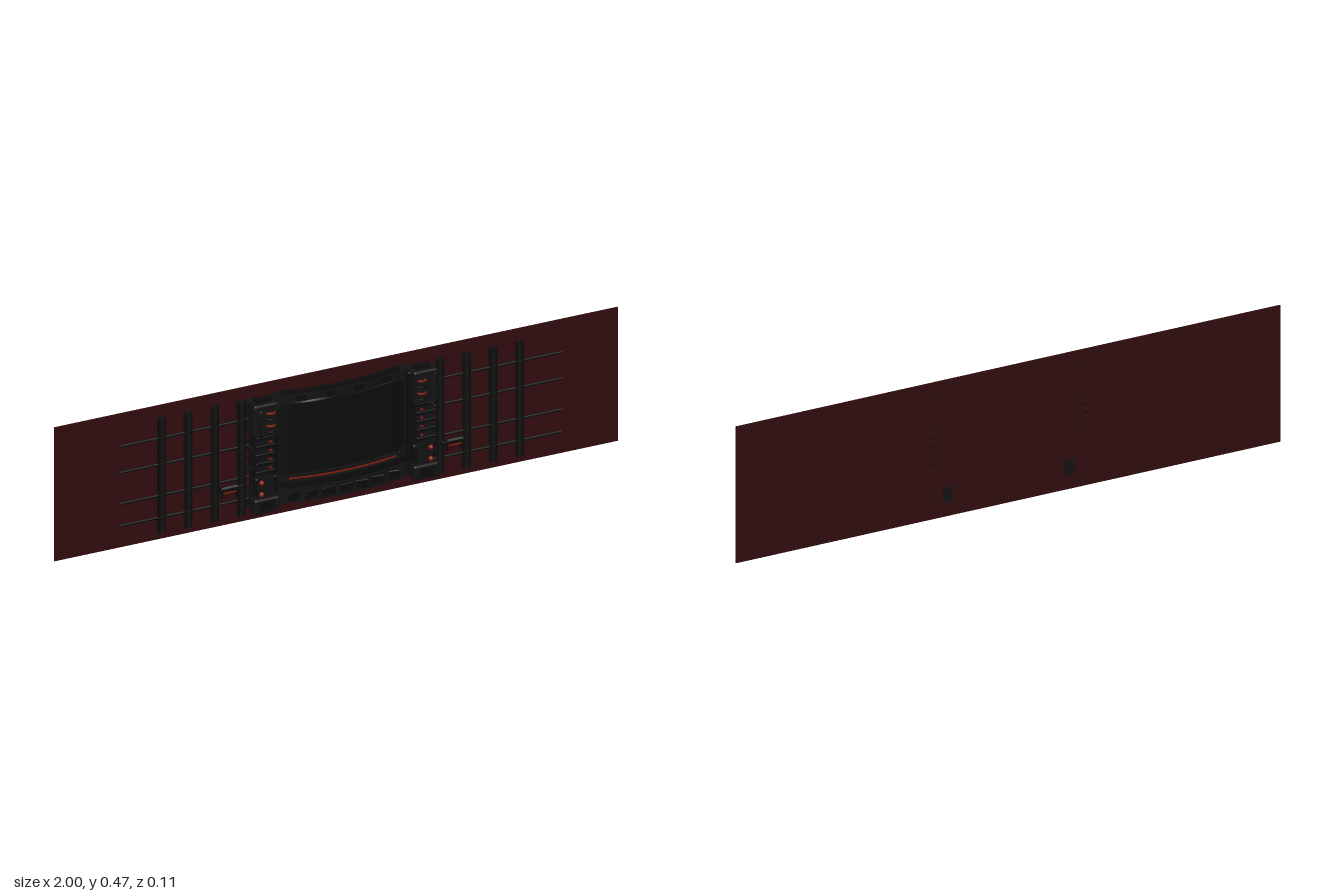
import * as THREE from 'three';
import { RoundedBoxGeometry } from 'three/addons/geometries/RoundedBoxGeometry.js';

const mat = (color, side = THREE.FrontSide) => new THREE.MeshStandardMaterial({ color, side });
const wallMat = mat(0x300c0e), dark = mat(0x121212), black = mat(0x0b0b0b), red = mat(0x7a1a0c), steel = mat(0x444a4c);

function add(parent, name, geo, material, x = 0, y = 0, z = 0) {
  const m = new THREE.Mesh(geo, material);
  m.name = name;
  m.position.set(x, y, z);
  parent.add(m);
  return m;
}
const box = (w, h, d) => new THREE.BoxGeometry(w, h, d);
const soft = (w, h, d, r = 0.006) => new RoundedBoxGeometry(w, h, d, 2, r);

// Bows geometry toward the front at x = 0
function bow(geo) {
  const p = geo.attributes.position;
  for (let i = 0; i < p.count; i++) p.setZ(i, p.getZ(i) - 0.6 * p.getX(i) ** 2);
  geo.computeVertexNormals();
  return geo;
}
const beam = (w, h, d) => bow(new THREE.BoxGeometry(w, h, d, 24, 1, 1));

// Rounded rectangle outline with closely spaced points
function outline(w, h, r) {
  const pts = [];
  const corners = [[1, 1], [-1, 1], [-1, -1], [1, -1]];
  corners.forEach(([sx, sy], k) => {
    for (let i = 0; i <= 6; i++) {
      const a = (k + i / 6) * Math.PI / 2;
      pts.push(new THREE.Vector2(sx * (w / 2 - r) + r * Math.cos(a), sy * (h / 2 - r) + r * Math.sin(a)));
    }
    if (k % 2 === 0) {
      for (let i = 1; i < 20; i++) pts.push(new THREE.Vector2(sx * (w / 2 - r) * (1 - i / 10), sy * h / 2));
    }
  });
  return pts;
}
function ring(w, h, r, t, depth) {
  const s = new THREE.Shape(outline(w, h, r));
  s.holes.push(new THREE.Path(outline(w - 2 * t, h - 2 * t, r * 0.8)));
  return bow(new THREE.ExtrudeGeometry(s, { depth, bevelEnabled: false }));
}

// Curved display with its surround and beams
function buildScreen() {
  const g = new THREE.Group();
  g.name = 'screenUnit';
  add(g, 'screen', beam(0.47, 0.27, 0.014), black, 0, 0.27, 0.002);
  add(g, 'bezel', ring(0.49, 0.29, 0.04, 0.018, 0.03), dark, 0, 0.27, -0.008);
  add(g, 'innerBezel', ring(0.462, 0.262, 0.03, 0.008, 0.01), black, 0, 0.27, 0.006);
  add(g, 'topBeam', beam(0.48, 0.024, 0.036), dark, 0, 0.416, 0.006);
  add(g, 'topRail', beam(0.42, 0.01, 0.024), black, 0, 0.429, 0.006);
  add(g, 'lowerBeam', beam(0.48, 0.048, 0.045), dark, 0, 0.076, 0.004);
  add(g, 'lowerShelf', beam(0.46, 0.022, 0.036), black, 0, 0.113, 0.006);
  add(g, 'redTrim', beam(0.38, 0.004, 0.005), red, 0, 0.136, 0.024);
  for (let i = -3; i <= 3; i++) {
    const x = i * 0.058;
    const m = add(g, 'lowerPanel', soft(0.046, 0.03, 0.008, 0.003), black, x, 0.077, 0.028 - 0.6 * x * x);
    m.rotation.y = -Math.atan(-1.2 * x) * -1;
  }
  for (const x of [-0.15, -0.05, 0.05, 0.15])
    add(g, 'topClip', box(0.03, 0.018, 0.008), black, x, 0.416, 0.026 - 0.6 * x * x);
  return g;
}

// Equipment column beside the display, built at +x
function buildColumn() {
  const g = new THREE.Group();
  g.name = 'sideColumn';
  add(g, 'columnCore', soft(0.06, 0.36, 0.066), dark, 0.283, 0.24, -0.006);
  add(g, 'innerPost', soft(0.026, 0.34, 0.05), black, 0.245, 0.25, -0.018);
  add(g, 'headBlock', soft(0.086, 0.115, 0.068, 0.008), dark, 0.283, 0.37, -0.003);
  add(g, 'headCap', box(0.05, 0.012, 0.03), black, 0.283, 0.43, 0);
  add(g, 'footBlock', soft(0.09, 0.052, 0.076, 0.008), dark, 0.283, 0.075, -0.001);
  add(g, 'footHeel', box(0.028, 0.05, 0.04), dark, 0.222, 0.076, -0.031);
  add(g, 'footShoulder', soft(0.08, 0.06, 0.05), black, 0.28, 0.14, 0);
  add(g, 'footPlate', box(0.05, 0.03, 0.006), black, 0.283, 0.075, 0.036);
  // Ribs and rear studs
  for (let i = 0; i < 5; i++) {
    const y = 0.19 + i * 0.03;
    add(g, 'rib', soft(0.07, 0.012, 0.07, 0.003), black, 0.285, y, -0.005);
    add(g, 'redMarker', box(0.012, 0.006, 0.004), red, 0.268, y + 0.014, 0.028);
    add(g, 'rearStud', box(0.014, 0.004, 0.02), black, 0.285, y, -0.038);
  }
  // Warning lamps
  for (const y of [0.115, 0.155])
    add(g, 'lamp', new THREE.SphereGeometry(0.009, 14, 10), red, 0.3, y, 0.03);
  // Head coil and bent cable handle
  for (let i = 0; i < 4; i++) {
    const coil = add(g, 'coil', new THREE.TorusGeometry(0.014, 0.004, 6, 16), i % 2 ? red : black, 0.268, 0.33 + i * 0.022, 0.026);
    coil.rotation.x = Math.PI / 2;
  }
  const path = new THREE.CatmullRomCurve3([
    [0.3, 0.315, 0.028], [0.308, 0.311, 0.044], [0.314, 0.34, 0.05],
    [0.314, 0.385, 0.049], [0.308, 0.417, 0.043], [0.3, 0.41, 0.028],
  ].map(p => new THREE.Vector3(...p)));
  add(g, 'cable', new THREE.TubeGeometry(path, 24, 0.003, 6), black);
  add(g, 'outerPipe', new THREE.CylinderGeometry(0.009, 0.009, 0.34, 12), black, 0.318, 0.235, -0.006);
  for (const y of [0.13, 0.2, 0.27, 0.34])
    add(g, 'pipeClamp', box(0.026, 0.012, 0.026), dark, 0.318, y, -0.006);
  return g;
}

// Lattice of rails, built at +x
function buildLattice() {
  const g = new THREE.Group();
  g.name = 'railLattice';
  for (const y of [0.09, 0.167, 0.276, 0.368]) {
    const rail = add(g, 'horizontalRail', new THREE.CylinderGeometry(0.005, 0.005, 0.47, 8), black, 0.55, y, -0.012);
    rail.rotation.z = Math.PI / 2;
  }
  for (const x of [0.352, 0.447, 0.541, 0.635]) {
    add(g, 'verticalRail', box(0.026, 0.402, 0.008), dark, x, 0.237, -0.012);
    for (const s of [-1, 1]) add(g, 'railFlange', box(0.005, 0.402, 0.014), black, x + s * 0.0105, 0.237, -0.011);
  }
  // Small grab bracket near the foot
  const b = new THREE.Group();
  b.name = 'bracket';
  add(b, 'bracketBase', soft(0.08, 0.014, 0.016, 0.003), black, 0.392, 0.142, -0.004);
  add(b, 'bracketBar', box(0.055, 0.004, 0.006), steel, 0.4, 0.151, 0.003);
  add(b, 'bracketStripe', box(0.045, 0.005, 0.005), red, 0.4, 0.134, 0.003);
  for (const x of [0.372, 0.425]) add(b, 'bracketLeg', box(0.007, 0.038, 0.008), black, x, 0.134, -0.002);
  g.add(b);
  return g;
}

export function createModel() {
  const root = new THREE.Group();
  root.name = 'wallDisplay';
  add(root, 'backWall', box(2, 0.467, 0.006), wallMat, 0, 0.2335, -0.043);
  root.add(buildScreen());
  for (const s of [1, -1]) {
    const side = new THREE.Group();
    side.name = s > 0 ? 'leftSide' : 'rightSide';
    side.add(buildColumn(), buildLattice());
    side.scale.x = s;
    root.add(side);
  }
  return root;
}
